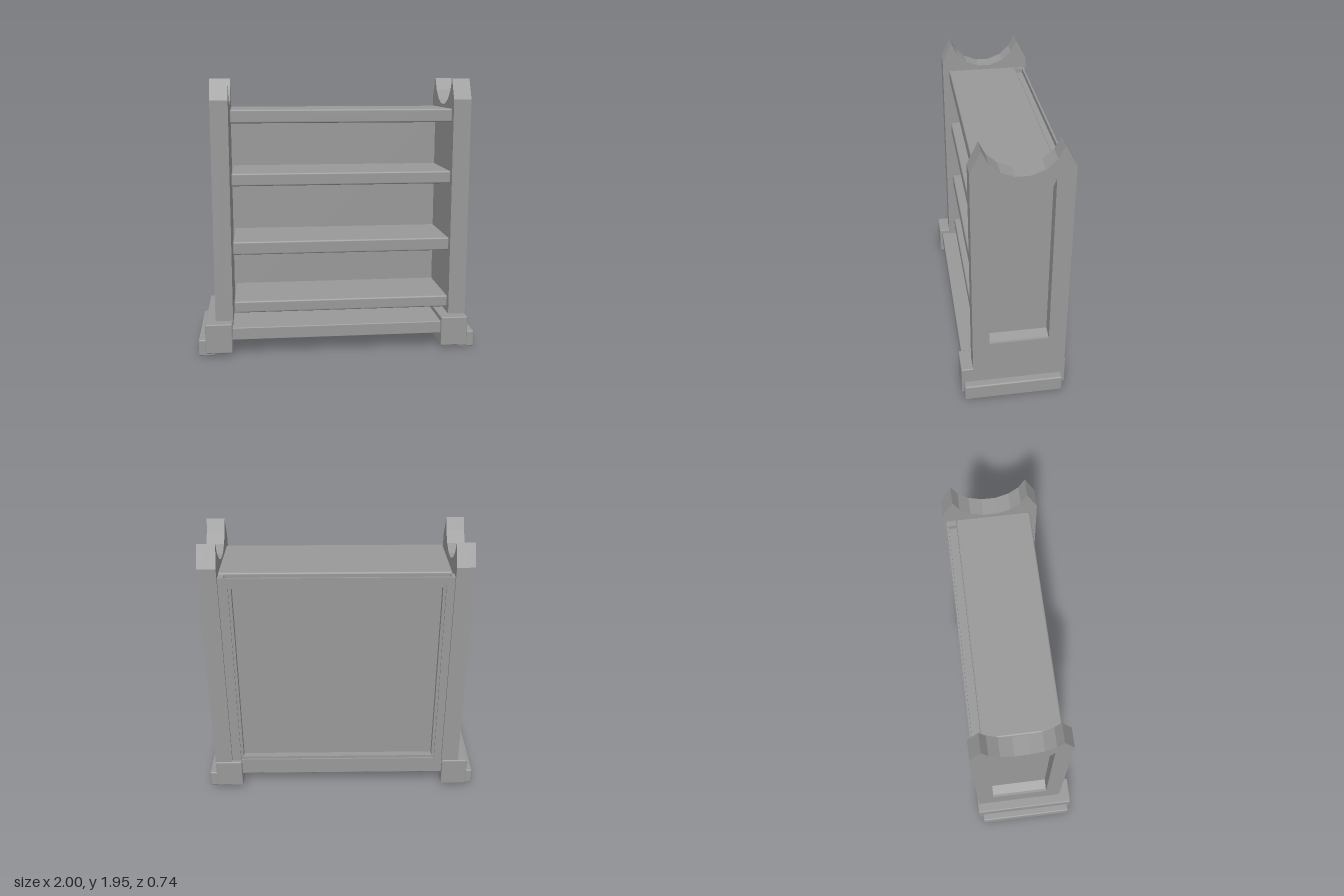
import * as THREE from 'three';
import { RoundedBoxGeometry } from 'three/addons/geometries/RoundedBoxGeometry.js';

const MID_Z = -0.035; // centre line of the end panels

export function createModel() {
  const model = new THREE.Group();
  model.name = 'bookcase';
  const grey = new THREE.MeshStandardMaterial({ color: 0x999999 });
  grey.name = 'plain grey';

  const add = (name, geometry, parent = model) => {
    const mesh = new THREE.Mesh(geometry, grey);
    mesh.name = name;
    parent.add(mesh);
    return mesh;
  };
  // Box given by its extents, optionally with softened edges
  const block = (name, [x0, x1], [y0, y1], [z0, z1], r = 0) => {
    const s = [x1 - x0, y1 - y0, z1 - z0];
    const g = r ? new RoundedBoxGeometry(...s, 2, r) : new THREE.BoxGeometry(...s);
    g.translate((x0 + x1) / 2, (y0 + y1) / 2, (z0 + z1) / 2);
    return add(name, g);
  };
  // Seven-sided scoop running from back to front
  const scoop = (half, sag, top) => {
    const R = (half * half + sag * sag) / (2 * sag);
    const a = Math.asin(half / R);
    return Array.from({ length: 8 }, (_, i) => {
      const t = -a + (2 * a * i) / 7;
      return new THREE.Vector2(MID_Z + R * Math.sin(t), top - sag + R - R * Math.cos(t));
    });
  };
  const outline = () => new THREE.Shape([
    new THREE.Vector2(0.285, 0.2), new THREE.Vector2(0.285, 1.8),
    ...scoop(0.25, 0.19, 1.945).reverse(),
    new THREE.Vector2(-0.36, 1.8), new THREE.Vector2(-0.36, 0.2),
  ]);
  // Extrude a (z, y) shape along x between two positions
  const alongX = (shape, x0, x1) => new THREE.ExtrudeGeometry(shape, { depth: x1 - x0, bevelEnabled: false })
    .rotateY(-Math.PI / 2).translate(x1, 0, 0);

  // End panels with a deep arched recess on the outside, feet and plinth strips
  const ends = [
    { side: 'right', s: -1, inner: -0.755, outer: -0.88, foot: [-0.95, -0.76], strip: [-1, -0.885] },
    { side: 'left', s: 1, inner: 0.82, outer: 0.945, foot: [0.75, 0.945], strip: [0.885, 1] },
  ];
  for (const { side, s, inner, outer, foot, strip } of ends) {
    const floor = outer - s * 0.085;
    const range = (a, b) => [Math.min(a, b), Math.max(a, b)];
    add(side + 'EndPanel', alongX(outline(), ...range(inner, floor)));
    const frame = outline();
    frame.holes.push(new THREE.Path([
      new THREE.Vector2(MID_Z - 0.205, 0.455),
      ...scoop(0.205, 0.175, 1.725),
      new THREE.Vector2(MID_Z + 0.205, 0.455),
    ]));
    add(side + 'EndFrame', alongX(frame, ...range(floor, outer)));
    // Sloping sill at the foot of the recess
    const sill = new THREE.Shape([
      new THREE.Vector2(floor, 0.45), new THREE.Vector2(outer - s * 0.001, 0.45), new THREE.Vector2(floor, 0.475),
    ]);
    add(side + 'RecessSill', new THREE.ExtrudeGeometry(sill, { depth: 0.41, bevelEnabled: false })
      .translate(0, 0, MID_Z - 0.205));
    block(side + 'Foot', foot, [0.02, 0.235], [-0.37, 0.367], 0.008);
    block(side + 'PlinthStrip', strip, [0, 0.12], [-0.34, 0.35], 0.01);
  }

  // Base board and shelves
  block('baseBoard', [-0.77, 0.76], [0.11, 0.2], [-0.34, 0.345], 0.006);
  for (const y of [[0.275, 0.36], [0.705, 0.8], [1.2, 1.29], [1.64, 1.735]]) {
    block('shelf', [-0.745, 0.825], y, [-0.275, 0.237], 0.012);
  }

  // Back panel set in a moulded frame
  block('backPanel', [-0.757, 0.822], [0.19, 1.69], [-0.285, -0.27]);
  const rect = (x0, x1, y0, y1) => [[x0, y0], [x1, y0], [x1, y1], [x0, y1]].map(p => new THREE.Vector2(...p));
  const ring = (name, out, hole, z0, z1) => {
    const shape = new THREE.Shape(rect(...out));
    shape.holes.push(new THREE.Path(rect(...hole).reverse()));
    add(name, new THREE.ExtrudeGeometry(shape, { depth: z1 - z0, bevelEnabled: false }).translate(0, 0, z0));
  };
  ring('backFrame', [-0.757, 0.822, 0.19, 1.69], [-0.68, 0.735, 0.26, 1.645], -0.33, -0.285);
  ring('backFrameRim', [-0.757, 0.822, 0.19, 1.725], [-0.7, 0.755, 0.24, 1.665], -0.342, -0.33);
  // Short blocks closing the groove at the top of the frame
  block('grooveEnd', [-0.757, -0.73], [1.69, 1.725], [-0.33, -0.275]);
  block('grooveEnd', [0.78, 0.822], [1.69, 1.725], [-0.33, -0.275]);
  return model;
}
